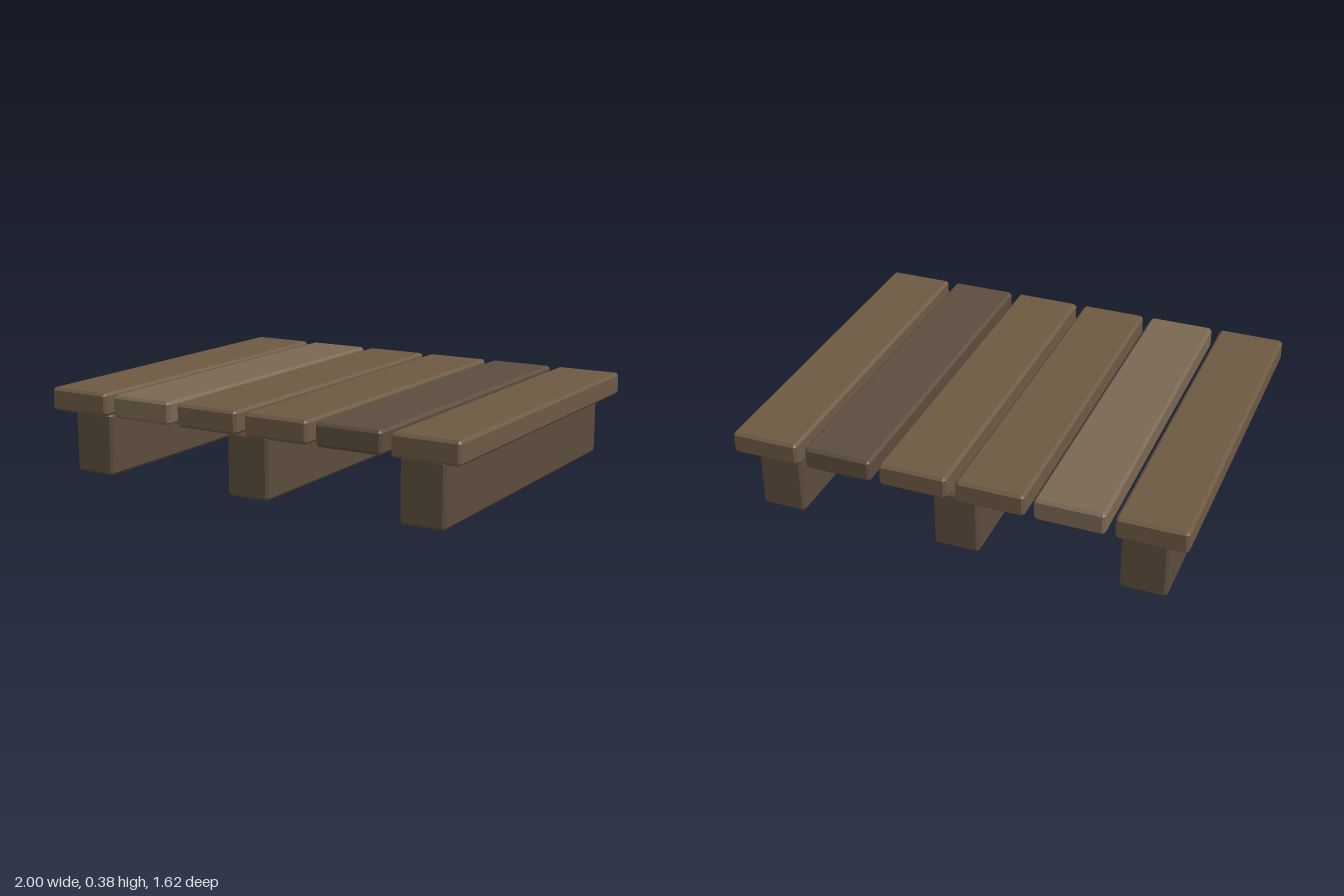
import * as THREE from 'three';
import { ConvexGeometry } from 'three/addons/geometries/ConvexGeometry.js';

// Box with flat chamfers on every edge and corner
function chamferedBox(w, h, d, b) {
  const points = [];
  for (const sx of [-1, 1]) for (const sy of [-1, 1]) for (const sz of [-1, 1]) {
    for (let axis = 0; axis < 3; axis++) {
      const inset = [b, b, b];
      inset[axis] = 0;
      points.push(new THREE.Vector3(
        sx * (w / 2 - inset[0]), sy * (h / 2 - inset[1]), sz * (d / 2 - inset[2])));
    }
  }
  return new ConvexGeometry(points);
}

function wood(color) {
  return new THREE.MeshStandardMaterial({ color });
}

export function createModel() {
  const group = new THREE.Group();
  group.name = 'woodenPallet';
  const midWood = wood(0x6c5943);
  const lightWood = wood(0x796751);
  const darkWood = wood(0x5b4c3d);

  function add(name, geometry, material, x, y) {
    const mesh = new THREE.Mesh(geometry, material);
    mesh.name = name;
    mesh.position.set(x, y, 0);
    group.add(mesh);
  }

  // Deck planks, evenly spaced across the width
  const plank = chamferedBox(0.3, 0.1, 1.62, 0.012);
  const plankWoods = [midWood, lightWood, midWood, midWood, darkWood, midWood];
  plankWoods.forEach((material, i) =>
    add(`deckPlank${i + 1}`, plank, material, -0.85 + i * 0.34, 0.325));

  // Support beams under the deck
  const beam = chamferedBox(0.2, 0.275, 1.52, 0.012);
  [-0.813, 0, 0.813].forEach((x, i) =>
    add(`supportBeam${i + 1}`, beam, darkWood, x, 0.1375));

  return group;
}
